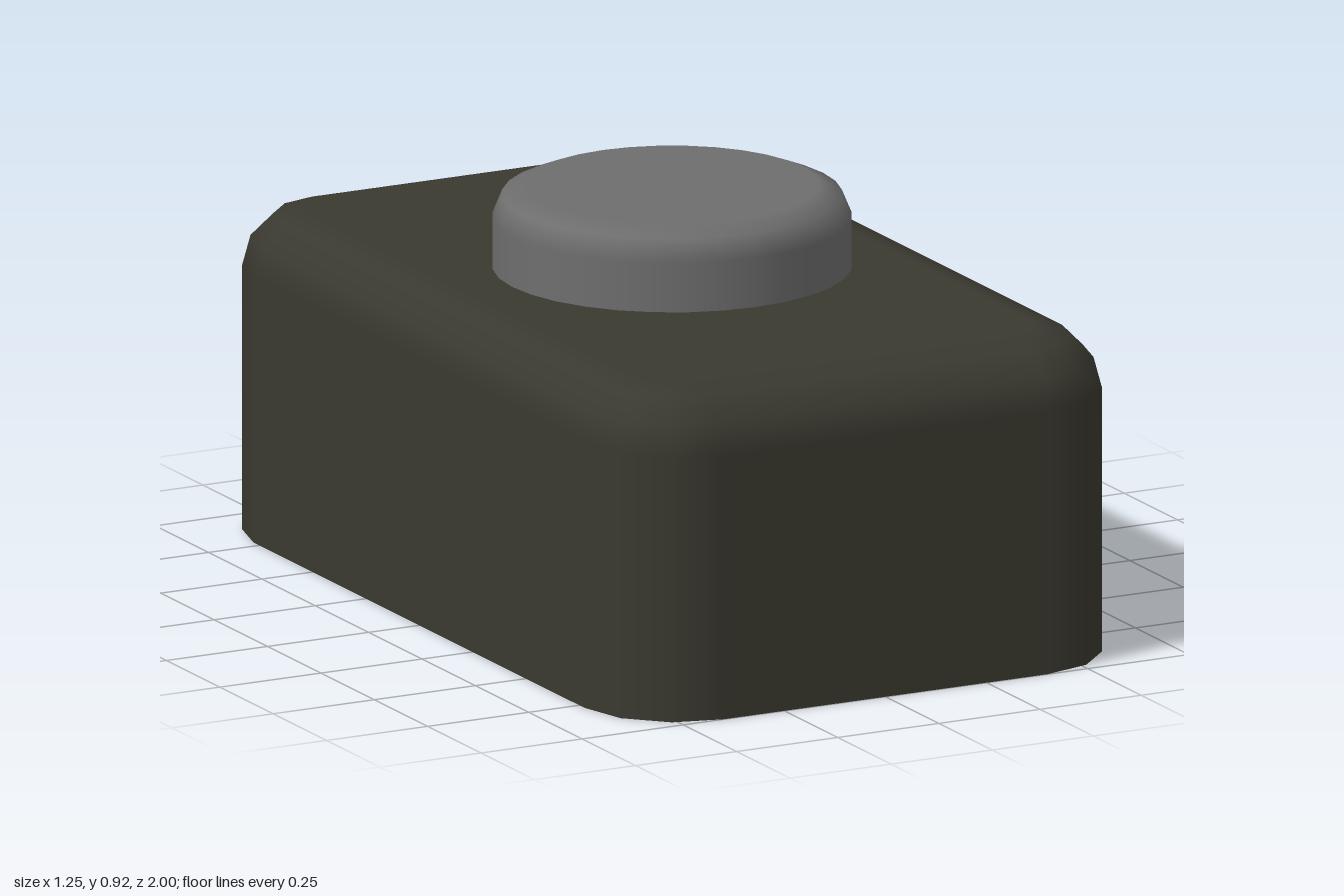
import * as THREE from 'three';

// Open-bottomed shell: rounded-rectangle plan (corner radius r) with a rounded top edge (radius bevel)
function roundedShell(hx, hz, r, bevel, y0, y1, cornerSegs, bevelSegs) {
  const positions = [], normals = [], indices = [];

  // Side profile from the bottom rim up over the rounded edge
  const profile = [{ inset: 0, y: y0, tilt: 0 }];
  for (let k = 0; k <= bevelSegs; k++) {
    const tilt = (k / bevelSegs) * Math.PI / 2;
    profile.push({ inset: bevel * (1 - Math.cos(tilt)), y: y1 - bevel * (1 - Math.sin(tilt)), tilt });
  }

  // Sweep the profile round the four corners
  const corners = [[1, 1], [-1, 1], [-1, -1], [1, -1]];
  corners.forEach(([sx, sz], q) => {
    for (let s = 0; s <= cornerSegs; s++) {
      const a = (q + s / cornerSegs) * Math.PI / 2;
      const c = Math.cos(a), d = Math.sin(a);
      for (const p of profile) {
        const rad = r - p.inset;
        positions.push(sx * (hx - r) + rad * c, p.y, sz * (hz - r) + rad * d);
        normals.push(c * Math.cos(p.tilt), Math.sin(p.tilt), d * Math.cos(p.tilt));
      }
    }
  });

  // Walls and flat top
  const rows = profile.length, cols = 4 * (cornerSegs + 1), centre = rows * cols;
  positions.push(0, y1, 0);
  normals.push(0, 1, 0);
  for (let i = 0; i < cols; i++) {
    const a = i * rows, b = ((i + 1) % cols) * rows;
    for (let j = 0; j < rows - 1; j++) {
      indices.push(a + j, a + j + 1, b + j + 1, a + j, b + j + 1, b + j);
    }
    indices.push(centre, b + rows - 1, a + rows - 1);
  }

  const geometry = new THREE.BufferGeometry();
  geometry.setAttribute('position', new THREE.Float32BufferAttribute(positions, 3));
  geometry.setAttribute('normal', new THREE.Float32BufferAttribute(normals, 3));
  geometry.setIndex(indices);
  return geometry;
}

export function createModel() {
  const group = new THREE.Group();
  group.name = 'pushButtonBox';

  const darkOlive = new THREE.MeshStandardMaterial({ color: 0x3a3930, side: THREE.DoubleSide });
  darkOlive.name = 'dark olive';
  const grey = new THREE.MeshStandardMaterial({ color: 0x6e6e6e, side: THREE.DoubleSide });
  grey.name = 'mid grey';

  // Hollow housing, open underneath
  const housing = new THREE.Mesh(roundedShell(0.625, 1, 0.225, 0.14, 0, 0.737, 3, 3), darkOlive);
  housing.name = 'housing';

  // Round push button, its rim just sunk into the housing top
  const button = new THREE.Mesh(roundedShell(0.394, 0.394, 0.394, 0.072, 0.732, 0.92, 8, 2), grey);
  button.name = 'button';

  group.add(housing, button);
  return group;
}
